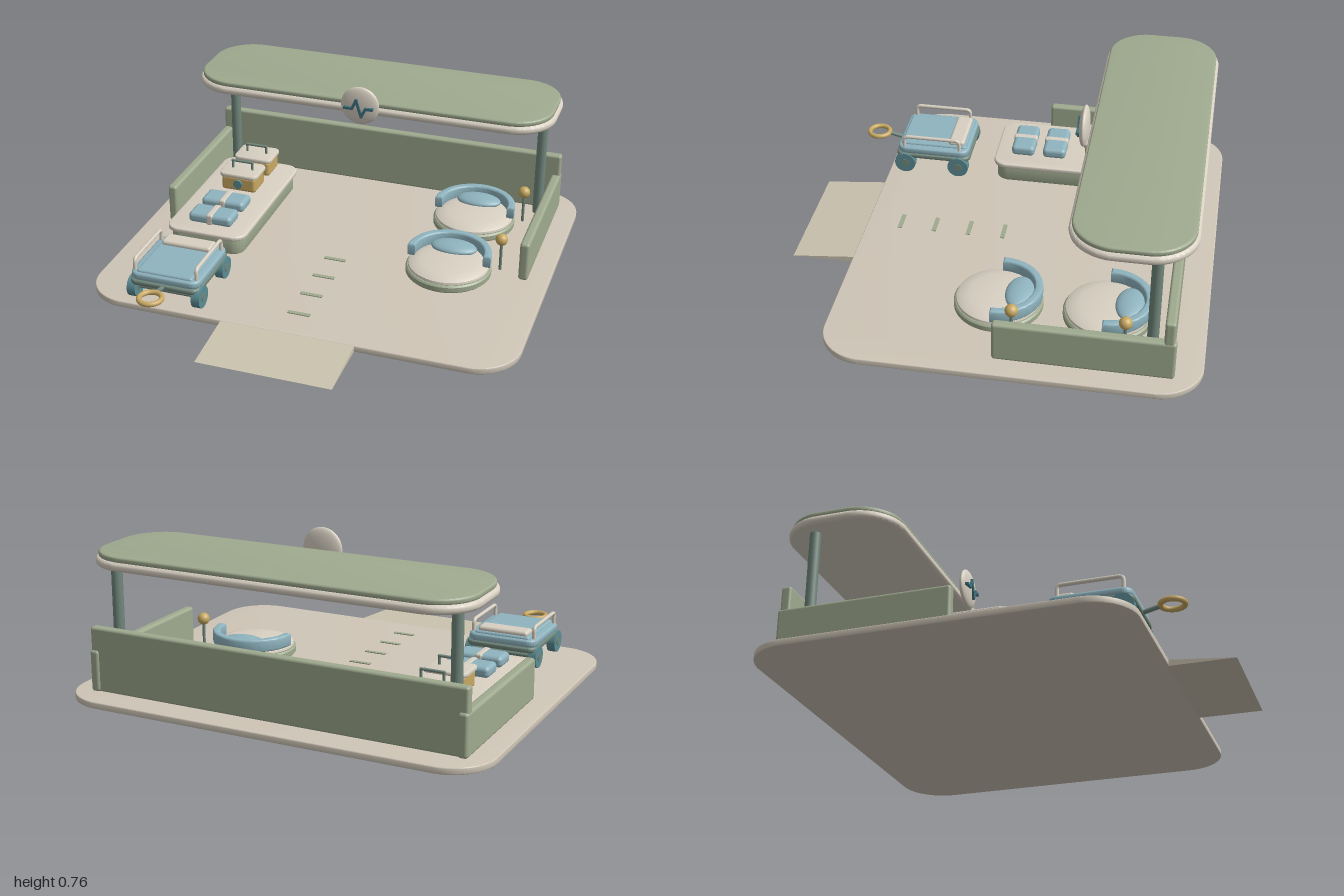
import * as THREE from 'three';
import { toCreasedNormals } from 'three/addons/utils/BufferGeometryUtils.js';
import { RoundedBoxGeometry } from 'three/addons/geometries/RoundedBoxGeometry.js';

const colour = (name, hex) => {
  const m = new THREE.MeshStandardMaterial({ color: hex });
  m.name = name;
  return m;
};

export function createModel() {
  const stone = colour('stone', 0xcfc6b7);
  const sand = colour('sand', 0xcbc3af);
  const cream = colour('cream', 0xd8d0c2);
  const sage = colour('sage', 0x9faa8f);
  const slate = colour('slate green', 0x71877c);
  const blue = colour('soft blue', 0x8fb4bf);
  const teal = colour('teal', 0x5c8c94);
  const deepTeal = colour('deep teal', 0x42727f);
  const gold = colour('gold', 0xc8a962);

  const model = new THREE.Group();
  model.name = 'careStation';

  const group = (name, x, y, z, parent = model) => {
    const g = new THREE.Group();
    g.name = name;
    g.position.set(x, y, z);
    parent.add(g);
    return g;
  };
  const add = (parent, name, geo, mat, x = 0, y = 0, z = 0) => {
    const m = new THREE.Mesh(geo, mat);
    m.name = name;
    m.position.set(x, y, z);
    parent.add(m);
    return m;
  };
  const box = (w, h, d, r) => new RoundedBoxGeometry(w, h, d, 3, r);
  const rod = (r, h) => new THREE.CylinderGeometry(r, r, h, 20);

  // Extrudes a plan outline upward from y = 0, with bevelled edges
  const raise = (shape, h, b) => {
    const geo = new THREE.ExtrudeGeometry(shape, {
      depth: h - 2 * b, bevelEnabled: b > 0, bevelSize: b, bevelThickness: b, bevelSegments: 3, curveSegments: 16,
    });
    geo.translate(0, 0, b).rotateX(-Math.PI / 2);
    return toCreasedNormals(geo, 0.6);
  };
  const slab = (w, d, h, r, b) => {
    const x = w / 2 - b, y = d / 2 - b, q = r - b, s = new THREE.Shape();
    s.absarc(x - q, y - q, q, 0, Math.PI / 2);
    s.absarc(q - x, y - q, q, Math.PI / 2, Math.PI);
    s.absarc(q - x, q - y, q, Math.PI, Math.PI * 1.5);
    s.absarc(x - q, q - y, q, Math.PI * 1.5, Math.PI * 2);
    s.closePath();
    return raise(s, h, b);
  };

  // Platform, entry ramp and floor dashes
  add(model, 'platform', slab(2, 1.66, 0.03, 0.2, 0.004), stone, 0, 0, -0.15);
  const wedge = new THREE.Shape([[0.675, 0], [0.97, 0], [0.675, 0.029]].map(p => new THREE.Vector2(...p)));
  add(model, 'ramp', new THREE.ExtrudeGeometry(wedge, { depth: 0.62, bevelEnabled: false })
    .rotateY(-Math.PI / 2), sand, 0.31);
  for (let i = 0; i < 4; i++) {
    add(model, 'floorDash', new THREE.BoxGeometry(0.105, 0.006, 0.02), sage, 0, 0.031, 0.02 + i * 0.166);
  }

  // Low walls and canopy posts
  add(model, 'backWall', box(1.8, 0.297, 0.045, 0.012), sage, 0, 0.1765, -0.828);
  for (const s of [-1, 1]) {
    add(model, 'sideWall', box(0.045, 0.192, 0.78, 0.014), sage, s * 0.88, 0.124, -0.47);
    add(model, 'canopyPost', rod(0.025, 0.6), slate, s * 0.81, 0.325, -0.755);
  }

  // Canopy
  add(model, 'canopyRim', slab(1.8, 0.54, 0.04, 0.2, 0.016), cream, 0, 0.612, -0.645);
  add(model, 'canopyTop', slab(1.775, 0.515, 0.026, 0.19, 0.008), sage, 0, 0.649, -0.645);

  // Round sign with a pulse line
  const sign = group('sign', 0, 0.67, -0.35);
  add(sign, 'signDisc', new THREE.SphereGeometry(0.095, 40, 24), cream).scale.z = 0.25;
  const pulse = [[-0.07, -0.008], [-0.032, -0.008], [-0.012, 0.036], [0.014, -0.046], [0.034, -0.003], [0.066, -0.003]];
  for (let i = 0; i < pulse.length - 1; i++) {
    const [ax, ay] = pulse[i], [bx, by] = pulse[i + 1];
    const bar = add(sign, 'pulseBar', new THREE.BoxGeometry(Math.hypot(bx - ax, by - ay) + 0.009, 0.013, 0.018),
      deepTeal, (ax + bx) / 2, (ay + by) / 2, 0.023);
    bar.rotation.z = Math.atan2(by - ay, bx - ax);
  }

  // Supply bench
  const bench = group('supplyBench', -0.62, 0.03, -0.25);
  add(bench, 'benchBody', slab(0.37, 0.77, 0.08, 0.06, 0.004), sage);
  add(bench, 'benchTop', slab(0.4, 0.8, 0.024, 0.065, 0.007), cream, 0, 0.078);

  // Strapped parcels
  for (const z of [-0.145, 0.012]) {
    const parcel = group('parcel', -0.62, 0.155, z);
    add(parcel, 'parcelBody', box(0.22, 0.052, 0.115, 0.02), blue);
    add(parcel, 'parcelStrap', box(0.034, 0.058, 0.119, 0.01), cream);
  }

  // Supply boxes with lids and handles
  for (const z of [-0.365, -0.558]) {
    const crate = group('supplyBox', -0.62, 0.13, z);
    add(crate, 'boxBody', box(0.18, 0.08, 0.135, 0.016), gold, 0, 0.038);
    add(crate, 'boxLid', slab(0.2, 0.155, 0.022, 0.03, 0.007), cream, 0, 0.073);
    add(crate, 'boxBadge', rod(0.023, 0.02).rotateX(Math.PI / 2), teal, 0, 0.04, 0.068);
    for (const s of [-1, 1]) add(crate, 'handlePost', rod(0.006, 0.045), slate, s * 0.052, 0.112);
    add(crate, 'handleBar', box(0.118, 0.012, 0.014, 0.005), slate, 0, 0.134);
  }

  // Round rest pads, each with a curved backrest, pillow and lamp
  const arc = new THREE.Shape();
  arc.absarc(0, 0, 0.19, 0, Math.PI);
  arc.absarc(0, 0, 0.17, Math.PI, 0, true);
  arc.closePath();
  const cushion = [[0, 0.03], [0.18, 0.03], [0.19, 0.04], [0.188, 0.05], [0.17, 0.06], [0.13, 0.069], [0.07, 0.075], [0, 0.077]];
  const base = [[0, 0], [0.193, 0], [0.2, 0.007], [0.2, 0.03], [0.193, 0.037], [0, 0.037]];
  const lathe = pts => toCreasedNormals(
    new THREE.LatheGeometry(pts.map(p => new THREE.Vector2(...p)), 48).toNonIndexed(), 0.7);
  for (const z of [-0.05, -0.54]) {
    const pad = group('restPad', 0.535, 0.03, z);
    add(pad, 'padBase', lathe(base), sage);
    add(pad, 'padCushion', lathe(cushion), cream);
    add(pad, 'padBackrest', raise(arc, 0.06, 0.008), blue, 0, 0.056);
    add(pad, 'padPillow', new THREE.SphereGeometry(0.11, 32, 20), blue, 0, 0.078, -0.095).scale.set(1, 0.25, 0.58);
    add(pad, 'lampPole', rod(0.007, 0.15), slate, 0.225, 0.075, -0.095);
    add(pad, 'lampBall', new THREE.SphereGeometry(0.029, 24, 16), gold, 0.225, 0.16, -0.095);
  }

  // Pull cart
  const cart = group('cart', -0.6, 0, 0.46);
  add(cart, 'cartFrame', slab(0.34, 0.375, 0.026, 0.04, 0.008), slate, 0, 0.108);
  add(cart, 'cartTray', slab(0.335, 0.36, 0.036, 0.045, 0.01), blue, 0, 0.132);
  add(cart, 'cartMattress', box(0.27, 0.024, 0.33, 0.011), blue, 0, 0.167);
  add(cart, 'cartPillow', box(0.245, 0.03, 0.08, 0.014), cream, 0, 0.185, -0.115);
  for (const s of [-1, 1]) {
    // Bent side rail
    const rail = new THREE.CurvePath();
    const v = (y, z) => new THREE.Vector3(s * 0.15, y, z);
    rail.add(new THREE.LineCurve3(v(0.16, -0.135), v(0.2, -0.135)));
    rail.add(new THREE.QuadraticBezierCurve3(v(0.2, -0.135), v(0.222, -0.135), v(0.222, -0.113)));
    rail.add(new THREE.LineCurve3(v(0.222, -0.113), v(0.222, 0.123)));
    rail.add(new THREE.QuadraticBezierCurve3(v(0.222, 0.123), v(0.222, 0.145), v(0.2, 0.145)));
    rail.add(new THREE.LineCurve3(v(0.2, 0.145), v(0.16, 0.145)));
    add(cart, 'cartRail', new THREE.TubeGeometry(rail, 60, 0.009, 10), cream);
    for (const z of [-0.13, 0.14]) {
      add(cart, 'cartWheel', rod(0.052, 0.04).rotateZ(Math.PI / 2), teal, s * 0.157, 0.081, z);
      add(cart, 'wheelHub', rod(0.02, 0.046).rotateZ(Math.PI / 2), slate, s * 0.157, 0.081, z);
    }
  }
  for (const z of [-0.13, 0.14]) add(cart, 'cartAxle', rod(0.01, 0.3).rotateZ(Math.PI / 2), slate, 0, 0.081, z);
  const pull = new THREE.LineCurve3(new THREE.Vector3(0, 0.118, 0.17), new THREE.Vector3(0, 0.141, 0.265));
  add(cart, 'pullRod', new THREE.TubeGeometry(pull, 1, 0.01, 12), slate);
  add(cart, 'pullRing', new THREE.TorusGeometry(0.051, 0.012, 14, 36).rotateX(Math.PI / 2), gold, 0, 0.141, 0.31);

  return model;
}
